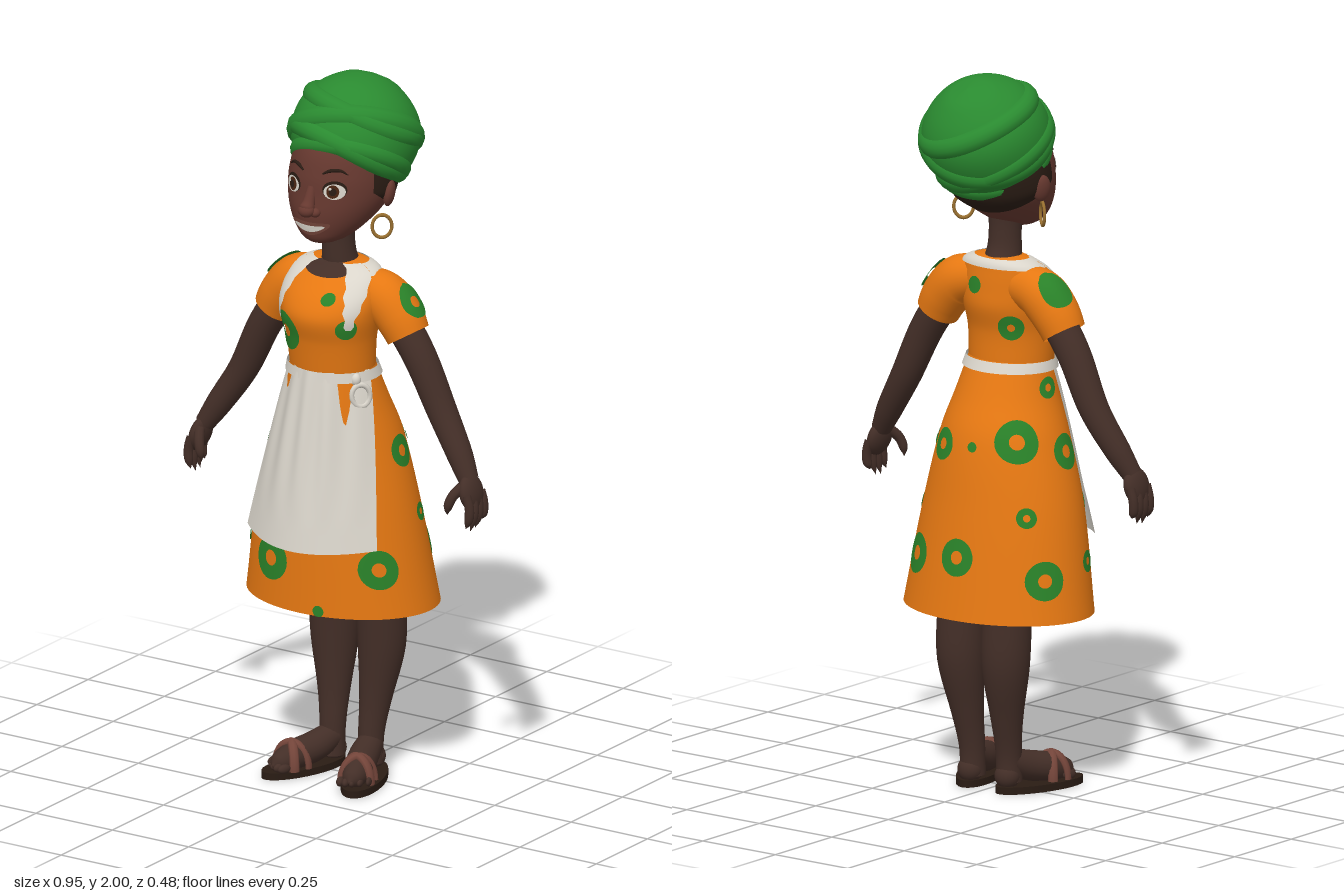
import * as THREE from 'three';
import { mergeVertices } from 'three/addons/utils/BufferGeometryUtils.js';

const mat = (name, color, side = THREE.FrontSide) => {
  const m = new THREE.MeshStandardMaterial({ color, side });
  m.name = name;
  return m;
};
const lerp = THREE.MathUtils.lerp, rad = THREE.MathUtils.degToRad, TAU = Math.PI * 2;
const V = (x, y, z) => new THREE.Vector3(x, y, z);

// Smooth surface from a point function f(u, v), u and v in 0..1
function grid(f, nu, nv) {
  const pos = [], idx = [];
  for (let j = 0; j <= nv; j++) for (let i = 0; i <= nu; i++) pos.push(...f(i / nu, j / nv).toArray());
  for (let j = 0; j < nv; j++) for (let i = 0; i < nu; i++) {
    const a = j * (nu + 1) + i, b = a + 1, c = a + nu + 1, d = c + 1;
    idx.push(a, b, d, a, d, c);
  }
  let g = new THREE.BufferGeometry();
  g.setAttribute('position', new THREE.Float32BufferAttribute(pos, 3));
  g.setIndex(idx);
  g = mergeVertices(g, 1e-5);
  g.computeVertexNormals();
  return g;
}

// Smooth interpolation of rows [key, a, b, ...] by key
function sample(rows, k) {
  const n = rows.length - 1;
  k = THREE.MathUtils.clamp(k, rows[0][0], rows[n][0]);
  let i = 0;
  while (i < n - 1 && k > rows[i + 1][0]) i++;
  const p = rows[i], q = rows[i + 1], o = rows[Math.max(i - 1, 0)], r = rows[Math.min(i + 2, n)];
  const h = q[0] - p[0], t = (k - p[0]) / h, t2 = t * t, t3 = t2 * t;
  return p.map((a, c) => (2 * t3 - 3 * t2 + 1) * a + (3 * t2 - 2 * t3) * q[c]
    + (t3 - 2 * t2 + t) * h * (q[c] - o[c]) / (q[0] - o[0]) + (t3 - t2) * h * (r[c] - p[c]) / (r[0] - p[0]));
}

// Upright body from rows [y, centreX, halfWidth, frontZ, backZ]; angle 0 faces +z, 90 degrees is +x
const body = rows => (a, y, off = 0) => {
  const [yy, cx, rx, zf, zb] = sample(rows, y);
  return V(cx + (rx + off) * Math.sin(a), yy, (zf + zb) / 2 + ((zf - zb) / 2 + off) * Math.cos(a));
};
const band = (F, y0, y1, a0 = 0, a1 = 360, off = 0, nv = 32) =>
  grid((u, v) => F(rad(lerp(a0, a1, u)), lerp(y0, y1, v), off), 64, nv);

// Tapered limb along points [x, y, z, radius]
function limb(pts, n = 24) {
  const curve = new THREE.CatmullRomCurve3(pts.map(p => V(p[0], p[1], p[2])));
  const fr = curve.computeFrenetFrames(n);
  const radii = pts.map((p, i) => [i / (pts.length - 1), p[3]]);
  return (u, v, off = 0) => {
    const k = THREE.MathUtils.clamp(Math.round(v * n), 0, n), t = THREE.MathUtils.clamp(v, 0, 1);
    const r = Math.max(0, sample(radii, t)[1]) + off, a = u * TAU;
    return curve.getPoint(t).addScaledVector(fr.normals[k], r * Math.cos(a)).addScaledVector(fr.binormals[k], r * Math.sin(a));
  };
}
const limbGeo = (pts, n = 24, sides = 18) => grid(limb(pts, n), sides, n);

// Thin disc or ring laid on a surface; sizes in units, hole is a fraction
function spot(F, u0, v0, ru, rv = ru, hole = 0, off = 0.004, bend = 0) {
  const e = 0.01, p = F(u0, v0);
  const su = e / F(u0 + e, v0).distanceTo(p), sv = e / F(u0, v0 - e).distanceTo(p);
  return grid((u, v) => {
    const r = lerp(1, hole, v), x = r * ru * Math.cos(u * TAU), y = r * rv * Math.sin(u * TAU) + bend * x * x;
    return F(u0 + x * su, v0 + y * sv, off);
  }, 28, 3);
}

export function createModel() {
  const skin = mat('dark skin', 0x432e27), face = mat('face skin', 0x66382f);
  const green = mat('headwrap green', 0x2a8a30), print = mat('print green', 0x2a8229, THREE.DoubleSide);
  const orange = mat('dress orange', 0xe67812, THREE.DoubleSide), white = mat('apron white', 0xdad5cb, THREE.DoubleSide);
  const dark = mat('hair dark', 0x2a1c14, THREE.DoubleSide), gold = mat('gold', 0x9a7030);
  const strap = mat('sandal strap', 0x74453a), iris = mat('iris brown', 0x4a2512);
  const model = new THREE.Group();
  const add = (name, geo, m, p = [0, 0, 0], s = [1, 1, 1], r = [0, 0, 0]) => {
    const o = new THREE.Mesh(geo, m);
    o.name = name;
    o.position.set(...p); o.scale.set(...s); o.rotation.set(...r);
    model.add(o);
    return o;
  };
  const ball = new THREE.SphereGeometry(1, 24, 16);

  // Dress
  const skirt = body([[0.51, -0.012, 0.284, 0.19, -0.24], [0.8, -0.012, 0.235, 0.184, -0.19], [1.0, -0.005, 0.182, 0.172, -0.15],
    [1.1, 0, 0.148, 0.162, -0.105], [1.2, 0, 0.122, 0.15, -0.06]]);
  const torso = body([[1.19, 0, 0.122, 0.15, -0.06], [1.28, 0, 0.129, 0.163, -0.06], [1.35, 0, 0.142, 0.178, -0.075],
    [1.4, 0, 0.145, 0.155, -0.072], [1.45, 0, 0.132, 0.105, -0.066], [1.475, 0, 0.108, 0.07, -0.06],
    [1.49, 0, 0.06, 0.05, -0.04], [1.493, 0, 0.01, 0.02, -0.01]]);
  add('skirt', band(skirt, 0.51, 1.2), orange);
  add('bodice', band(torso, 1.19, 1.493, 0, 360, 0, 40), orange);

  // Printed rings: [angle, height, radius]
  const rings = [[-23, 0.645, 0.062], [52, 0.65, 0.056], [96, 0.96, 0.046], [104, 0.78, 0.026], [140, 0.66, 0.056], [225, 1.0, 0.06],
    [240, 0.63, 0.054], [277, 0.96, 0.05], [228, 0.8, 0.028], [180, 0.68, 0.052], [266, 1.13, 0.03], [150, 0.97, 0.045],
    [285, 0.66, 0.03], [320, 0.8, 0.03]];
  for (const [a, y, r] of rings) add('skirtRing', spot(skirt, rad(a), y, r, r, 0.36), print);
  for (const [a, y, r] of [[185, 0.98, 0.014], [130, 0.97, 0.012], [12, 0.525, 0.016]]) add('skirtDot', spot(skirt, rad(a), y, r), print);
  add('bodiceRing', spot(torso, rad(-37), 1.3, 0.055, 0.058, 0.33), print);
  add('bodiceDot', spot(torso, rad(20), 1.41, 0.02), print);
  add('bodiceDot', spot(torso, rad(48), 1.33, 0.03), print);
  add('backRing', spot(torso, rad(212), 1.3, 0.036, 0.036, 0.3), print);
  add('backDot', spot(torso, rad(165), 1.41, 0.024), print);

  // Apron with a gathered front, waistband, neck strap and side bow
  add('apronFront', grid((u, v) => {
    const t = 1 - v, k = u * 2 - 1, w = lerp(0.126, 0.212, t ** 0.8);
    return V(w * k - 0.01 * t, lerp(1.2, 0.7, t) + 0.012 * k * k * t,
      lerp(0.162, 0.236, t) - 0.105 * k * k + 0.005 * Math.cos(k * 15) * Math.sin(Math.PI * Math.min(1, t + 0.15)));
  }, 48, 20), white);
  add('waistband', band(skirt, 1.172, 1.208, 0, 360, 0.008, 3), white);
  add('collar', band(torso, 1.462, 1.486, 70, 290, 0.005, 4), white);
  for (const s of [-1, 1]) {
    add('apronStrap', grid((u, v) => {
      const w = lerp(0.12, 0.75, v) + 0.05 * Math.sin(v * 25);
      return torso(s * 0.88 + (u - 0.5) * w, lerp(1.33, 1.487, v), 0.006);
    }, 10, 16), white);
  }
  const loop = new THREE.TorusGeometry(0.026, 0.007, 8, 20);
  add('bowLoop', loop, white, [0.125, 1.135, 0.095], [1, 1.2, 1], [0, 0.9, 0.2]);
  add('bowKnot', ball, white, [0.112, 1.18, 0.1], [0.014, 0.018, 0.014]);

  // Neck
  add('neck', limbGeo([[0, 1.44, 0, 0.06], [0, 1.5, 0.014, 0.048], [0, 1.56, 0.018, 0.045], [0, 1.63, 0.02, 0.05]]), skin);
  add('neckline', spot(torso, 0, 1.475, 0.07, 0.036), skin);

  // Head
  const head = body([[1.555, 0, 0.012, 0.11, 0.07], [1.568, 0, 0.052, 0.142, 0.02], [1.6, 0, 0.092, 0.156, -0.04],
    [1.65, 0.002, 0.127, 0.163, -0.11], [1.7, 0.004, 0.142, 0.16, -0.135], [1.76, 0.005, 0.14, 0.155, -0.145],
    [1.83, 0.005, 0.12, 0.133, -0.14], [1.9, 0.005, 0.07, 0.07, -0.1], [1.93, 0.005, 0.01, 0, -0.02]]);
  add('head', band(head, 1.555, 1.93, 0, 360, 0, 44), face);
  add('hair', grid((u, v) => {
    const a = lerp(72, 288, u), low = 1.62 + 0.09 * Math.abs(u * 2 - 1) ** 2;
    return head(rad(a), lerp(low, 1.8, v), 0.012 * Math.min(1, 8 * u, 8 * (1 - u), 5 * v + 0.1));
  }, 48, 14), dark);
  add('noseBridge', limbGeo([[0.002, 1.73, 0.15, 0.012], [0.002, 1.69, 0.165, 0.017], [0.002, 1.668, 0.178, 0.02], [0.002, 1.65, 0.172, 0]], 16), face);
  add('noseTip', ball, face, [0.002, 1.668, 0.178], [0.024, 0.019, 0.021]);
  add('lips', spot(head, 0, 1.612, 0.054, 0.02, 0, 0.006, 5), strap);
  add('teeth', spot(head, 0, 1.613, 0.043, 0.01, 0, 0.009, 5), white);
  for (const s of [-1, 1]) {
    const a = s * rad(27.5);
    add('nostril', ball, face, [0.002 + s * 0.02, 1.662, 0.165], [0.015, 0.013, 0.015]);
    add('lashLine', spot(head, a, 1.729, 0.034, 0.026, 0, 0.003), dark);
    add('eyeWhite', spot(head, a, 1.725, 0.03, 0.022, 0, 0.005), white);
    add('iris', spot(head, a - 0.03 * s, 1.726, 0.017, 0.019, 0, 0.007), iris);
    add('pupil', spot(head, a - 0.03 * s, 1.726, 0.01, 0.011, 0, 0.009), dark);
    add('eyeGlint', spot(head, a - 0.03 * s - 0.05, 1.735, 0.004, 0.004, 0, 0.011), white);
    add('eyebrow', limbGeo([[13, 1.772, 0.002], [22, 1.782, 0.005], [34, 1.782, 0.004], [42, 1.77, 0.001]]
      .map(([d, y, r]) => [...head(rad(d) * s, y, 0.002).toArray(), r]), 12, 8), dark);
    add('ear', ball, face, [0.004 + s * 0.147, 1.695, -0.005], [0.016, 0.038, 0.026], [0, s * 0.4, -s * 0.15]);
    add('earring', new THREE.TorusGeometry(0.027, 0.0045, 8, 28), gold, [s * 0.136, s > 0 ? 1.6 : 1.62, 0.008], [1, 1.2, 1], [0, s * 0.7, 0]);
  }

  // Headwrap: tilted dome with overlapping rolls of cloth
  const wrap = new THREE.Group();
  wrap.name = 'headwrap';
  wrap.position.set(0.01, 1.832, -0.055);
  wrap.rotation.x = -0.52;
  model.add(wrap);
  const dome = body([[-0.105, 0, 0.14, 0.145, -0.14], [-0.06, 0, 0.168, 0.17, -0.162], [0, 0, 0.178, 0.175, -0.173], [0.06, 0, 0.166, 0.16, -0.163],
    [0.11, 0, 0.13, 0.127, -0.128], [0.15, 0, 0.075, 0.073, -0.073], [0.163, 0, 0.035, 0.035, -0.035], [0.166, 0, 0.002, 0.002, -0.002]]);
  const wrapPart = (name, geo) => {
    const o = new THREE.Mesh(geo, green);
    o.name = name;
    wrap.add(o);
  };
  wrapPart('wrapDome', band(dome, -0.105, 0.166, 0, 360, 0, 40));
  for (const [y, slope, ph, r] of [[-0.078, 0.018, 0.3, 0.03], [-0.05, -0.032, 0.1, 0.033], [-0.005, 0.042, 0.2, 0.035], [0.05, -0.04, 0.5, 0.032]]) {
    const pts = [];
    for (let i = 0; i < 28; i++) {
      const a = i / 28 * TAU;
      pts.push(dome(a, y + slope * Math.sin(a + ph), -r * 0.7));
    }
    wrapPart('wrapRoll', new THREE.TubeGeometry(new THREE.CatmullRomCurve3(pts, true), 84, r, 14, true));
  }

  for (const s of [-1, 1]) {
    const side = pts => pts.map(([x, y, z, r]) => [s * x, y, z, r]);
    const part = (name, pts, m, n, sides) => add(name, limbGeo(side(pts), n, sides), m);

    // Sleeve with its printed ring
    const sleevePts = side([[0.07, 1.415, 0, 0.058], [0.14, 1.395, 0, 0.069], [0.19, 1.345, 0, 0.067], [0.217, 1.3, 0, 0.061]]);
    const sleeve = limb(sleevePts, 32), out = s > 0 ? 0.25 : 0.75;
    add('sleeve', limbGeo(sleevePts, 32, 28), orange);
    add('sleeveRing', spot(sleeve, out + (s > 0 ? 0 : 0.06), s > 0 ? 0.62 : 0.5, 0.042, 0.042, s > 0 ? 0.35 : 0, 0.006), print);

    // Arm and hand
    part('arm', [[0.15, 1.39, 0, 0.05], [0.25, 1.25, -0.002, 0.047], [0.325, 1.1, -0.004, 0.042],
      [0.395, 0.99, 0.012, 0.036], [0.432, 0.93, 0.025, 0.028]], skin, 32);
    add('palm', ball, skin, [s * 0.443, 0.9, 0.03], [0.024, 0.052, 0.047], [0, 0, s * 0.25]);
    for (let i = 0; i < 4; i++) {
      const z = 0.064 - i * 0.023, tip = [0.805, 0.792, 0.796, 0.815][i];
      part('finger', [[0.45, 0.9, z, 0.013], [0.46, 0.862, z, 0.0135], [0.458, 0.828, z + 0.002, 0.012], [0.45, tip, z + 0.004, 0]], skin, 14, 10);
    }
    part('thumb', [[0.43, 0.92, 0.055, 0.015], [0.415, 0.895, 0.08, 0.014], [0.405, 0.865, 0.088, 0.012], [0.402, 0.842, 0.086, 0]], skin, 14, 10);

    // Leg, foot and sandal
    part('leg', [[0.07, 0.64, -0.06, 0.076], [0.077, 0.5, -0.073, 0.069], [0.077, 0.36, -0.079, 0.066], [0.068, 0.21, -0.062, 0.045],
      [0.063, 0.11, -0.048, 0.036], [0.063, 0.03, -0.045, 0.036]], skin, 32, 24);
    part('foot', [[0.063, 0.085, -0.045, 0.036], [0.08, 0.064, 0.015, 0.042], [0.108, 0.05, 0.085, 0.04], [0.122, 0.038, 0.135, 0.026], [0.126, 0.035, 0.155, 0]], skin);
    add('heel', ball, skin, [s * 0.064, 0.045, -0.055], [0.036, 0.036, 0.034]);
    for (let i = 0; i < 5; i++) {
      add('toe', ball, skin, [s * (0.092 + i * 0.016), 0.032, 0.146 - i * i * 0.0028], [0.011 - i * 0.0008, 0.013, 0.02], [0, s * 0.35, 0]);
    }
    add('sole', new THREE.CylinderGeometry(1, 1, 0.02, 32), dark, [s * 0.1, 0.01, 0.04], [0.056, 1, 0.138], [0, s * 0.33, 0]);
    for (const turn of [-0.5, 0.55]) {
      add('sandalStrap', new THREE.TorusGeometry(0.05, 0.008, 8, 24, Math.PI), strap, [s * 0.108, 0.02, 0.085], [1, 1.4, 1.7], [0, s * 0.33 + turn, 0]);
    }
  }
  return model;
}
